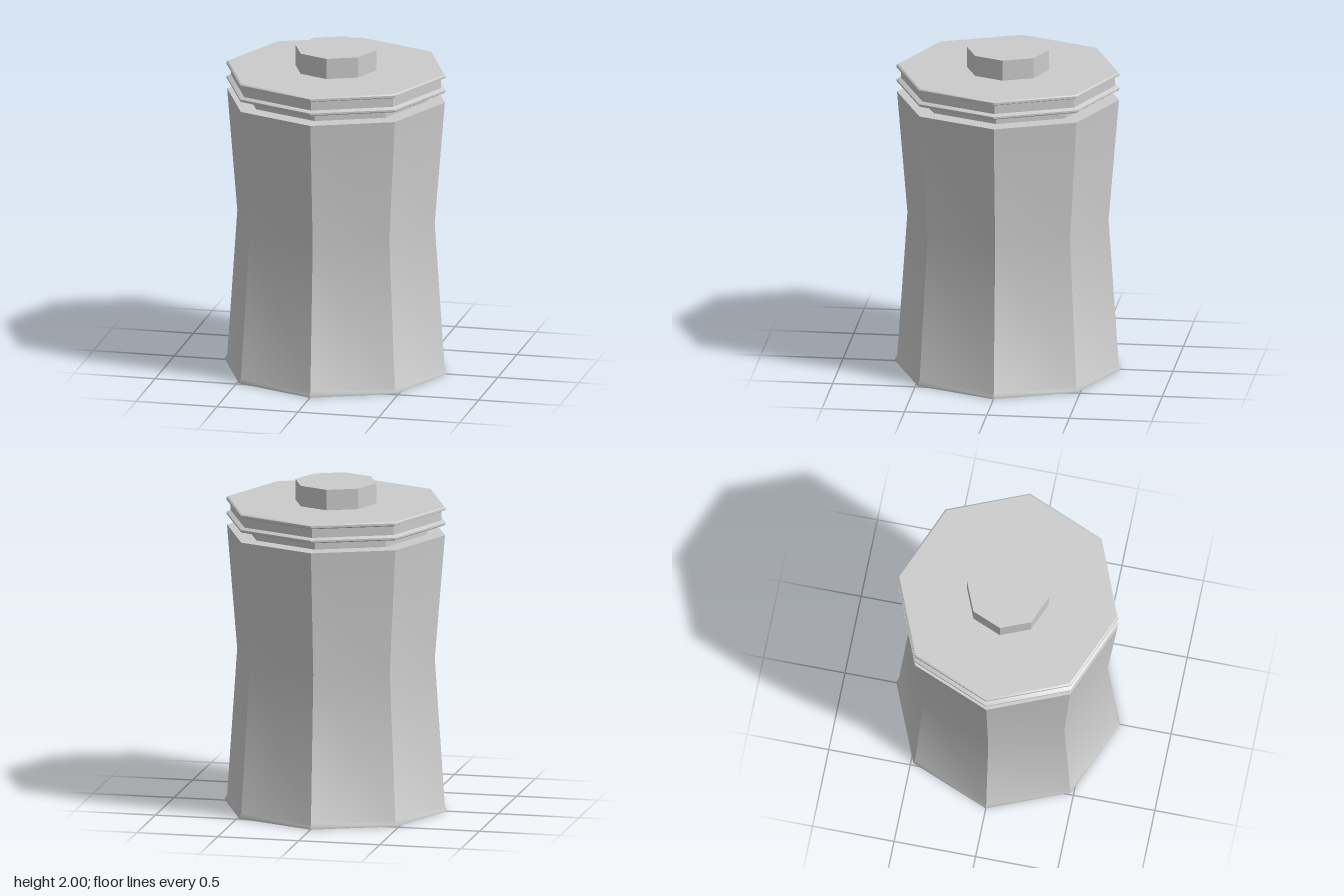
import * as THREE from 'three';
import { toCreasedNormals } from 'three/addons/utils/BufferGeometryUtils.js';

const material = new THREE.MeshStandardMaterial({ color: 0xcccccc });

// Eight-sided turned part from a [radius, height] profile, listed bottom to top.
// Facets stay crisp around the axis while gentle bends in the profile are smooth.
function turned(name, profile) {
  const points = profile.map(([r, y]) => new THREE.Vector2(r, y));
  const geometry = toCreasedNormals(new THREE.LatheGeometry(points, 8), 0.6);
  const mesh = new THREE.Mesh(geometry, material);
  mesh.name = name;
  return mesh;
}

export function createModel() {
  const group = new THREE.Group();
  group.name = 'canister';

  // Waisted body with a small flared foot
  group.add(turned('body', [
    [0, 0], [0.685, 0], [0.685, 0.012], [0.672, 0.035],
    [0.61, 0.94], [0.673, 1.7], [0, 1.7],
  ]));

  // Recessed neck between body and lid
  group.add(turned('neck', [[0.565, 1.7], [0.565, 1.765]]));

  // Lid: two bevelled rims with a groove between them
  group.add(turned('lid', [
    [0, 1.761], [0.668, 1.761], [0.677, 1.767], [0.677, 1.778], [0.65, 1.79],
    [0.65, 1.844], [0.677, 1.854], [0.677, 1.867], [0.667, 1.874], [0, 1.874],
  ]));

  // Knob on top
  group.add(turned('knob', [[0.25, 1.874], [0.25, 2], [0, 2]]));

  return group;
}
